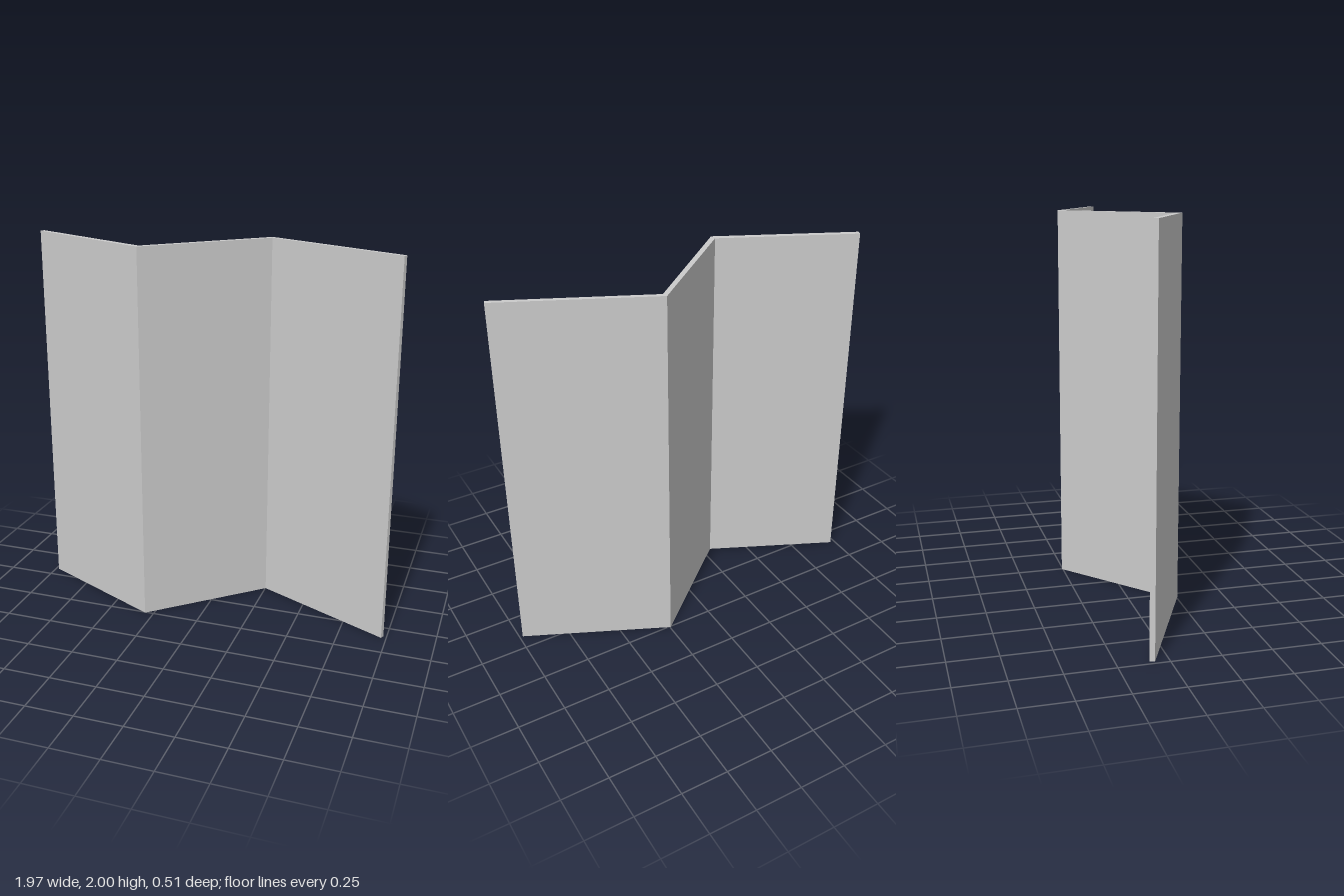
import * as THREE from 'three';

const HEIGHT = 2;

// Plan of the zigzag screen as [x, z]: front face left to right, then back face.
const FRONT = [[-0.983, -0.07], [-0.297, 0.256], [0.252, -0.228], [0.974, 0.108]];
const BACK = [[-0.974, -0.095], [-0.3, 0.222], [0.246, -0.256], [0.983, 0.088]];

export function createModel() {
  const group = new THREE.Group();
  group.name = 'foldingScreen';

  // Three mitred panels as one continuous folded sheet, extruded upwards
  const outline = [...FRONT, ...[...BACK].reverse()].map(([x, z]) => new THREE.Vector2(x, -z));
  const geometry = new THREE.ExtrudeGeometry(new THREE.Shape(outline), {
    depth: HEIGHT,
    bevelEnabled: false,
  });
  geometry.rotateX(-Math.PI / 2);

  const panels = new THREE.Mesh(geometry, new THREE.MeshStandardMaterial({ color: 0xcccccc }));
  panels.name = 'foldedPanels';
  group.add(panels);
  return group;
}
